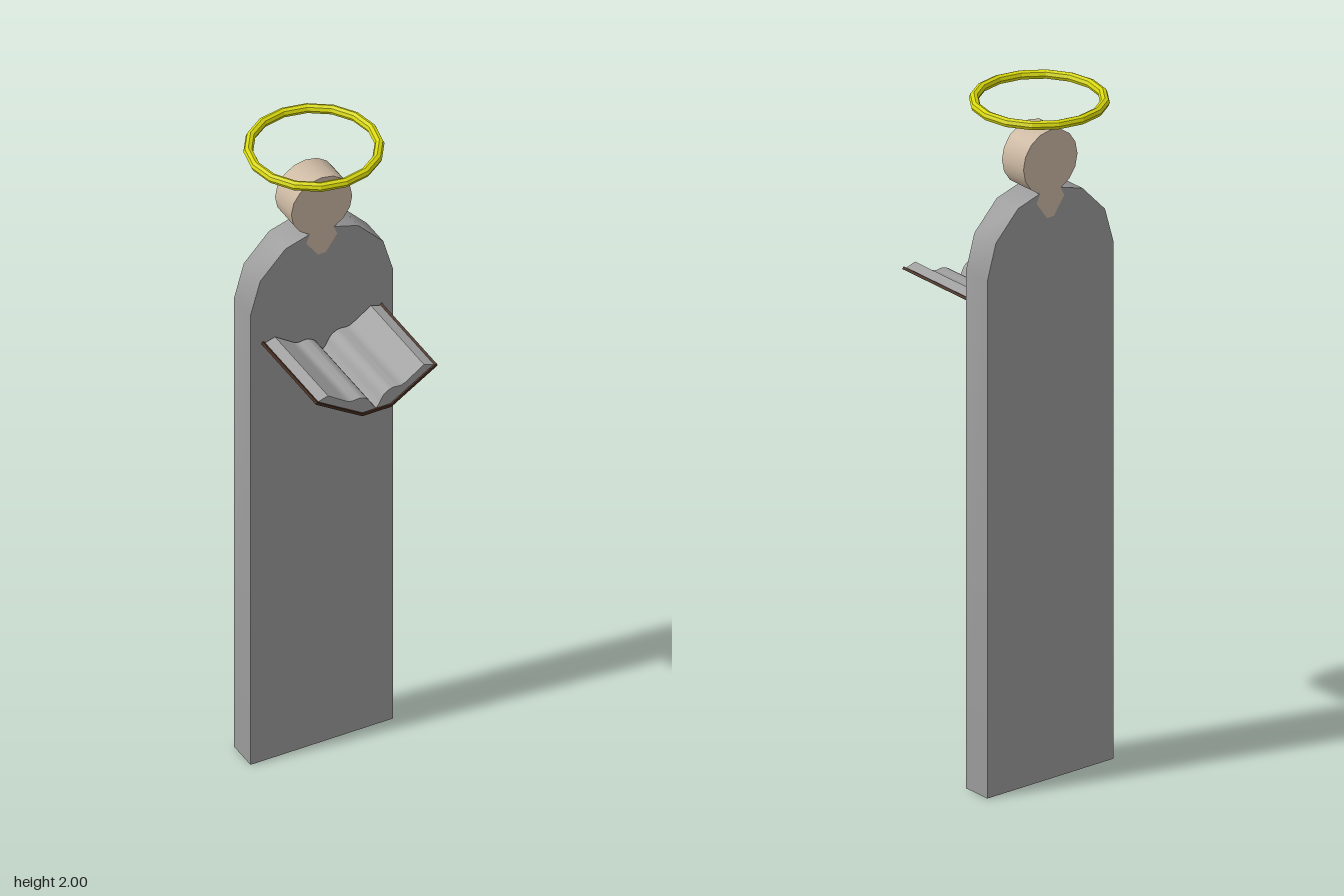
import * as THREE from 'three';
import { toCreasedNormals } from 'three/addons/utils/BufferGeometryUtils.js';

const flat = (name, color, extra = {}) =>
  Object.assign(new THREE.MeshStandardMaterial({ color, ...extra }), { name });

// Mirrors a right-hand outline (listed from bottom centre to top centre) across x = 0
function mirrored(half) {
  const left = half.filter(([x]) => x > 0).reverse().map(([x, y]) => [-x, y]);
  return [...half, ...left];
}

// Extrudes an outline between two depths, keeping sharp corners sharp
function slab(points, z0, z1, crease = 0.62) {
  const shape = new THREE.Shape(points.map(([x, y]) => new THREE.Vector2(x, y)));
  const geo = new THREE.ExtrudeGeometry(shape, { depth: z1 - z0, bevelEnabled: false });
  geo.translate(0, 0, z0);
  return toCreasedNormals(geo, crease);
}

// Drops the triangles lying on the floor, leaving the robe open underneath
function openBottom(geo) {
  const p = geo.attributes.position, n = geo.attributes.normal;
  const pos = [], nor = [];
  for (let i = 0; i < p.count; i += 3) {
    if (Math.max(p.getY(i), p.getY(i + 1), p.getY(i + 2)) < 0.001) continue;
    for (let j = i; j < i + 3; j++) {
      pos.push(p.getX(j), p.getY(j), p.getZ(j));
      nor.push(n.getX(j), n.getY(j), n.getZ(j));
    }
  }
  const out = new THREE.BufferGeometry();
  out.setAttribute('position', new THREE.Float32BufferAttribute(pos, 3));
  out.setAttribute('normal', new THREE.Float32BufferAttribute(nor, 3));
  return out;
}

export function createModel() {
  const group = new THREE.Group();
  const grey = flat('robe grey', 0x9b9b9b, { side: THREE.DoubleSide });
  const skin = flat('skin', 0xcbb8a2);
  const brown = flat('cover brown', 0x452c1e);
  const paper = flat('page grey', 0xa0a0a0);
  const yellow = flat('halo yellow', 0xd8d80c, { flatShading: true });

  const add = (name, geo, mat) => {
    const mesh = new THREE.Mesh(geo, mat);
    mesh.name = name;
    group.add(mesh);
    return mesh;
  };

  const back = -0.133, front = -0.04;

  // Robe: tall slab with rounded shoulders and a notch for the neck
  const collar = [[0.012, 1.657], [0.048, 1.708], [0.036, 1.735]];
  const robeRight = [[0.22, 0], [0.22, 1.525], [0.19, 1.63], [0.112, 1.712], ...[...collar].reverse()];
  add('robe', openBottom(slab(mirrored(robeRight), back, front)), grey);

  // Head: round disc running down into the pointed neck
  const headRight = [...collar];
  for (let i = 0; i <= 7; i++) {
    const a = -Math.PI / 2 + (i + 1) * Math.PI / 8;
    headRight.push([i === 7 ? 0 : 0.094 * Math.cos(a), 1.82 + 0.094 * Math.sin(a)]);
  }
  add('head', slab(mirrored(headRight), back, front), skin);

  // Halo
  const halo = add('halo', new THREE.TorusGeometry(0.179, 0.0135, 8, 16), yellow);
  halo.rotation.x = Math.PI / 2;
  halo.position.set(0, 1.9865, -0.085);

  // Book cover: flat spine with two raised boards
  const coverRight = [[0.045, 1.328], [0.188, 1.418], [0.184, 1.425], [0.043, 1.336]];
  add('bookCover', slab(mirrored(coverRight), -0.038, 0.274, 0.3), brown);

  // Pages: two curved blocks meeting in the gutter
  const swell = new THREE.SplineCurve([
    [0.148, 1.431], [0.11, 1.405], [0.08, 1.387], [0.05, 1.388],
    [0.025, 1.375], [0.009, 1.348], [0, 1.337],
  ].map(([x, y]) => new THREE.Vector2(x, y))).getPoints(18).map((v) => [v.x, v.y]);
  const pageRight = [[0, 1.335], [0.043, 1.335], [0.179, 1.421], ...swell];
  for (const [name, s] of [['leftPages', 1], ['rightPages', -1]]) {
    const outline = pageRight.map(([x, y]) => [s * x, y]);
    add(name, slab(outline, -0.034, 0.269), paper);
  }

  return group;
}
